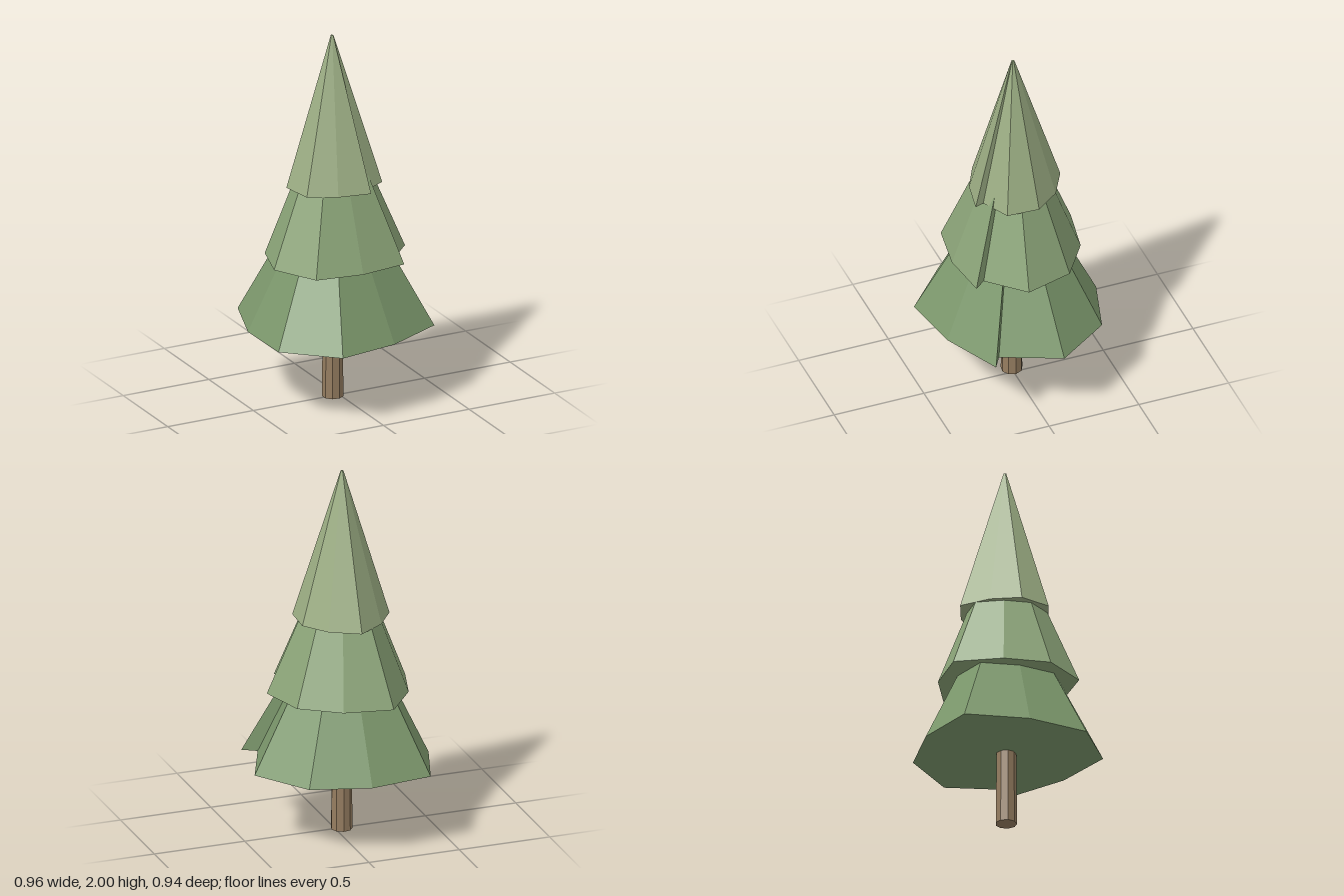
import * as THREE from 'three';

const AXIS_X = -0.035, AXIS_Z = -0.01;

// Flat-shaded tier: a wrapped outline at y0 shrinking toward the axis at y1.
// Outlines run clockwise from above, from the outer flap tip to the inner overlap.
function makeTier(name, color, outline, y0, y1, topScale) {
  const low = outline.map(([x, z]) => new THREE.Vector3(x, y0, z));
  const high = outline.map(([x, z]) => new THREE.Vector3(
    AXIS_X + (x - AXIS_X) * topScale, y1, AXIS_Z + (z - AXIS_Z) * topScale));
  const lowCentre = new THREE.Vector3(AXIS_X, y0, AXIS_Z);
  const highCentre = new THREE.Vector3(AXIS_X, y1, AXIS_Z);
  const points = [];
  low.forEach((a, i) => {
    const j = (i + 1) % low.length;
    points.push(low[j], a, high[i], low[j], high[i], high[j]); // side
    points.push(lowCentre, a, low[j]);                         // underside
    points.push(highCentre, high[j], high[i]);                 // top
  });
  const geometry = new THREE.BufferGeometry().setFromPoints(points);
  geometry.computeVertexNormals();
  const mesh = new THREE.Mesh(geometry, new THREE.MeshStandardMaterial({ color, flatShading: true }));
  mesh.name = name;
  return mesh;
}

export function createModel() {
  const tree = new THREE.Group();
  tree.name = 'pineTree';

  // Trunk
  const trunk = new THREE.Mesh(
    new THREE.CylinderGeometry(0.052, 0.057, 0.44, 9, 1, false, THREE.MathUtils.degToRad(12)),
    new THREE.MeshStandardMaterial({ color: 0x957d60, flatShading: true }));
  trunk.name = 'trunk';
  trunk.position.set(AXIS_X, 0.22, -0.003);
  tree.add(trunk);

  // Foliage, bottom to top
  tree.add(makeTier('lowerFoliage', 0x7d996d, [
    [0.42, 0.264], [0.11, 0.413], [-0.22, 0.468], [-0.475, 0.235], [-0.48, -0.1],
    [-0.37, -0.426], [-0.03, -0.472], [0.285, -0.38], [0.48, -0.093], [0.346, 0.219],
  ], 0.4, 0.92, 0.46));
  tree.add(makeTier('middleFoliage', 0x8ba478, [
    [0.227, 0.297], [-0.03, 0.332], [-0.285, 0.293], [-0.41, 0.06], [-0.34, -0.18],
    [-0.18, -0.39], [0.08, -0.342], [0.285, -0.2], [0.357, 0.055], [0.18, 0.238],
  ], 0.785, 1.3, 0.45));
  tree.add(makeTier('upperFoliage', 0x9cae84, [
    [0.065, 0.237], [-0.11, 0.205], [-0.255, 0.13], [-0.285, -0.043], [-0.19, -0.18],
    [-0.045, -0.278], [0.107, -0.193], [0.204, -0.062], [0.195, 0.112], [0.048, 0.188],
  ], 1.185, 2, 0.03));

  return tree;
}
